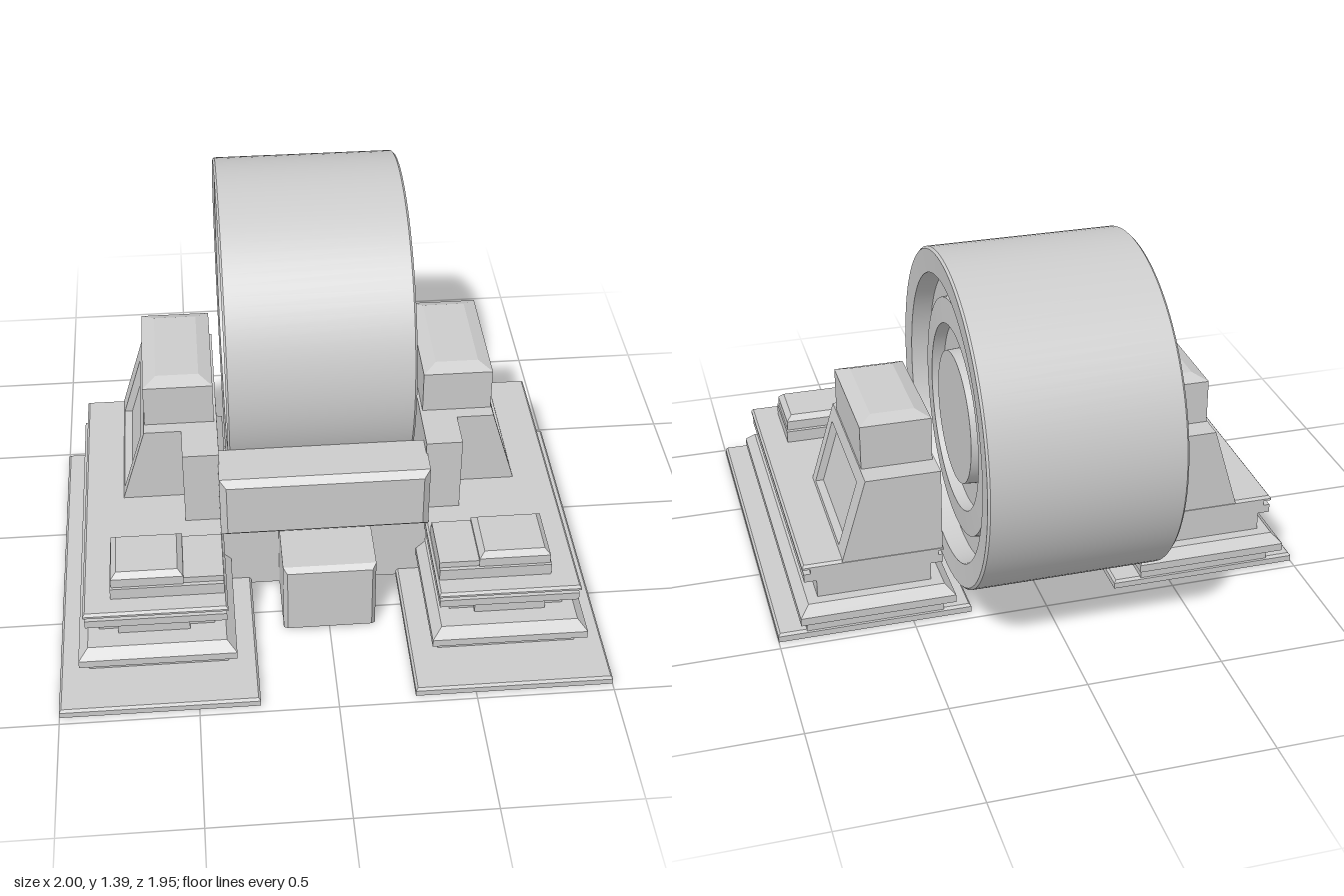
import * as THREE from 'three';

const grey = new THREE.MeshStandardMaterial({ color: 0xcccccc, side: THREE.DoubleSide });

// Moves every vertex by a rule, then gives each face its own flat normal
function reshape(geometry, rule) {
  const p = geometry.attributes.position;
  const v = new THREE.Vector3();
  for (let i = 0; i < p.count; i++) {
    rule(v.fromBufferAttribute(p, i));
    p.setXYZ(i, v.x, v.y, v.z);
  }
  const flat = geometry.toNonIndexed();
  flat.computeVertexNormals();
  return flat;
}

// Box between two limits on each axis. The + end of `axis` may have a bevel
// of the given height and inset.
function block(parent, name, [xa, xb], [y0, y1], [z0, z1], bevel) {
  const x0 = Math.min(xa, xb), x1 = Math.max(xa, xb);
  const { axis = 'y', height = 0, inset = 0 } = bevel || {};
  const size = new THREE.Vector3(x1 - x0, y1 - y0, z1 - z0);
  const segs = ['x', 'y', 'z'].map((a) => (bevel && a === axis ? 2 : 1));
  const geometry = reshape(new THREE.BoxGeometry(size.x, size.y, size.z, ...segs), (v) => {
    if (!bevel) return;
    const half = size[axis] / 2;
    if (Math.abs(v[axis]) < 1e-6) v[axis] = half - height;
    else if (v[axis] > 0) {
      for (const a of ['x', 'y', 'z']) if (a !== axis) v[a] -= Math.sign(v[a]) * inset;
    }
  });
  geometry.translate((x0 + x1) / 2, (y0 + y1) / 2, (z0 + z1) / 2);
  const mesh = new THREE.Mesh(geometry, grey);
  mesh.name = name;
  parent.add(mesh);
  return mesh;
}

// Part of a pillar whose outer side leans inward with height
function leaning(parent, name, s, [y0, y1], [z0, z1], recess = 0) {
  const outer = (y) => 0.755 - (y - 0.3) * 0.3 - recess;
  const geometry = reshape(new THREE.BoxGeometry(2, y1 - y0, z1 - z0), (v) => {
    v.y += (y0 + y1) / 2;
    v.z += (z0 + z1) / 2;
    v.x = s * (v.x * s > 0 ? outer(v.y) : 0.385);
  });
  const mesh = new THREE.Mesh(geometry, grey);
  mesh.name = name;
  parent.add(mesh);
}

// Stepped plinth with a pillar, for the side s = +1 or -1
function createSide(s) {
  const side = new THREE.Group();
  side.name = s > 0 ? 'leftSupport' : 'rightSupport';
  const x = (a, b) => [a * s, b * s];

  // Plinth layers: name, x limits, y limits, z limits, bevel
  const layers = [
    ['basePlate', [0.28, 1], [0, 0.033], [-0.46, 0.97], { height: 0.01, inset: 0.008 }],
    ['lowerStep', [0.385, 0.895], [0.03, 0.063], [-0.46, 0.77]],
    ['lowerCore', [0.43, 0.85], [0.06, 0.11], [-0.46, 0.71]],
    ['skirt', [0.355, 0.925], [0.107, 0.172], [-0.535, 0.835], { height: 0.035, inset: 0.035 }],
    ['upperCore', [0.43, 0.85], [0.17, 0.245], [-0.46, 0.71]],
    ['upperStep', [0.385, 0.895], [0.24, 0.272], [-0.46, 0.77]],
    ['deckNeck', [0.4, 0.87], [0.27, 0.292], [-0.46, 0.745]],
    ['deck', [0.38, 0.9], [0.29, 0.308], [-0.46, 0.775], { height: 0.01, inset: 0.008 }],
    ['frontLug', [0.52, 0.78], [0.06, 0.21], [0.6, 0.735]],
  ];
  for (const [name, [a, b], y, z, bevel] of layers) block(side, name, x(a, b), y, z, bevel);

  // Pillar: recessed core with a frame around the outer panel
  const pillar = new THREE.Group();
  pillar.name = 'pillar';
  side.add(pillar);
  leaning(pillar, 'pillarCore', s, [0.3, 0.62], [-0.42, 0.12], 0.03);
  leaning(pillar, 'pillarFrontFrame', s, [0.3, 0.62], [0.1, 0.15]);
  leaning(pillar, 'pillarBackFrame', s, [0.3, 0.62], [-0.46, -0.37]);
  leaning(pillar, 'pillarTopFrame', s, [0.57, 0.62], [-0.37, 0.1]);
  leaning(pillar, 'pillarBottomFrame', s, [0.3, 0.32], [-0.37, 0.1]);
  block(pillar, 'pillarButtress', x(0.385, 0.52), [0.3, 0.62], [0.12, 0.3]);
  block(pillar, 'bearingCap', x(0.395, 0.655), [0.62, 0.81], [-0.37, 0.1],
    { height: 0.022, inset: 0.05 });

  // Small stepped pad on the front of the deck
  block(side, 'padBase', x(0.39, 0.8), [0.3, 0.355], [0.45, 0.7]);
  block(side, 'padTop', x(0.535, 0.795), [0.35, 0.412], [0.465, 0.69],
    { height: 0.02, inset: 0.02 });
  block(side, 'padStep', x(0.39, 0.54), [0.35, 0.38], [0.465, 0.685]);
  return side;
}

// Broad wheel turned about the x axis, with stepped faces
function createWheel() {
  const half = [ // radius, distance from the middle
    [0, 0.31], [0.24, 0.31], [0.243, 0.265], [0.335, 0.265], [0.338, 0.31],
    [0.43, 0.305], [0.433, 0.275], [0.515, 0.275], [0.522, 0.345], [0.607, 0.35], [0.615, 0.342],
  ];
  const profile = [...half.map(([r, d]) => [r, -d]), ...half.slice().reverse()];
  const wheel = new THREE.Group();
  wheel.name = 'wheel';
  // One lathe per profile segment keeps the edges sharp and the round smooth
  for (let i = 0; i < profile.length - 1; i++) {
    const points = [profile[i], profile[i + 1]].map(([r, d]) => new THREE.Vector2(r, d));
    const band = new THREE.Mesh(new THREE.LatheGeometry(points, 96), grey);
    band.name = 'wheelBand';
    wheel.add(band);
  }
  wheel.rotation.z = -Math.PI / 2;
  wheel.position.set(0, 0.777, -0.363);
  return wheel;
}

export function createModel() {
  const model = new THREE.Group();
  model.name = 'wheelStand';
  model.add(createWheel(), createSide(1), createSide(-1));

  // Parts joining the two supports
  block(model, 'crossbeam', [-0.39, 0.39], [0.31, 0.575], [0.22, 0.415],
    { axis: 'z', height: 0.025, inset: 0.025 });
  block(model, 'centreWall', [-0.39, 0.39], [0.005, 0.315], [0.29, 0.34]);
  block(model, 'frontBox', [-0.172, 0.172], [0.005, 0.31], [0.3, 0.612],
    { axis: 'z', height: 0.022, inset: 0.015 });
  return model;
}
